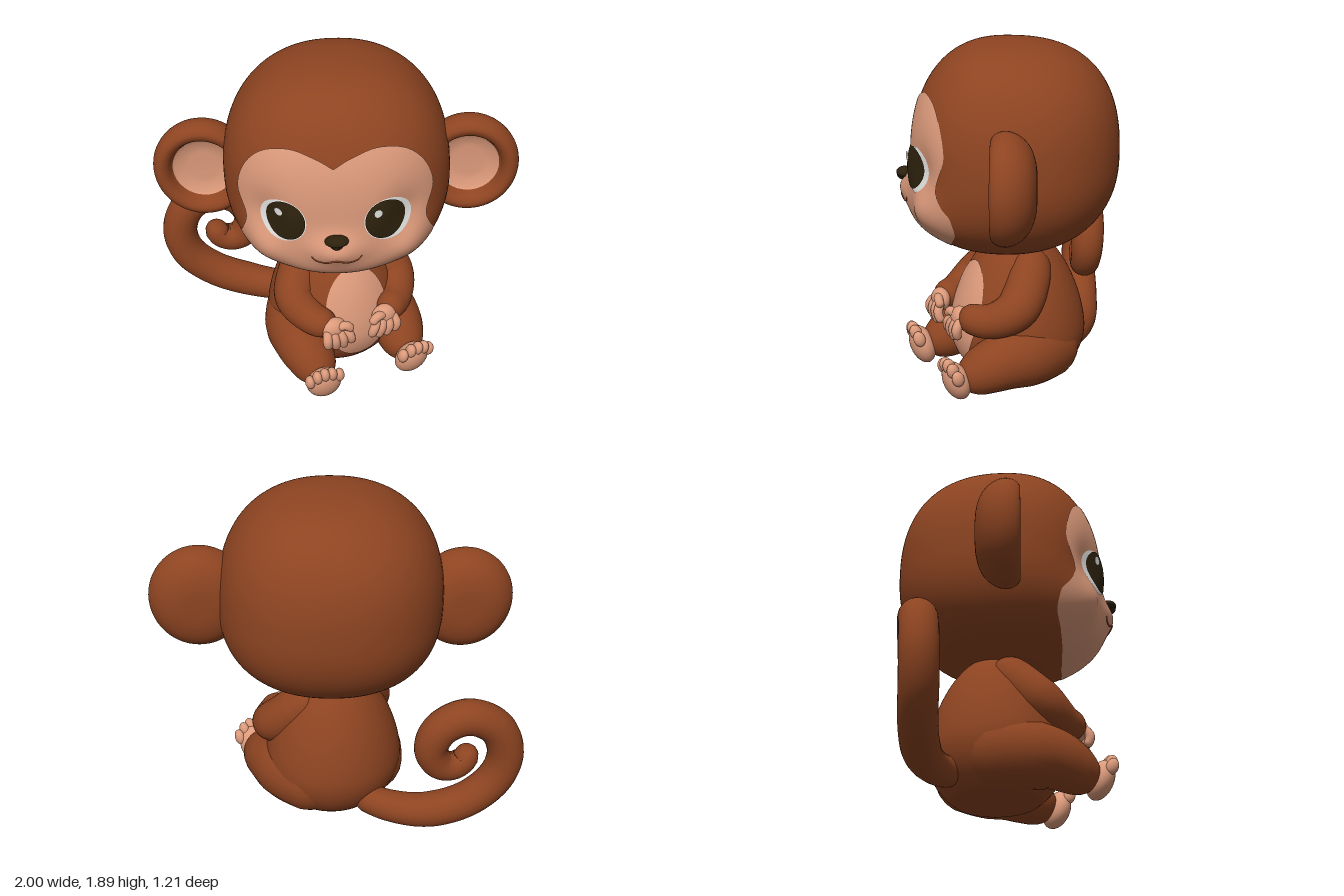
import * as THREE from 'three';
import { mergeVertices } from 'three/addons/utils/BufferGeometryUtils.js';

const mat = (name, color) => new THREE.MeshStandardMaterial({ name, color });
const V = (x, y, z) => new THREE.Vector3(x, y, z);

// Head surface: a rounded superellipsoid with a muzzle, full cheeks and chin, and shallow eye sockets
const HEAD = { a: 0.605, top: 0.645, bottom: 0.505, front: 0.512, back: 0.605, p: 2.22, q: 2.4 };
const gauss = (x, y, sx, sy) => Math.exp(-((x / sx) ** 2) - (y / sy) ** 2);
const bump = (x, y, z) => THREE.MathUtils.smoothstep(z, 0, 0.2) * (
  0.065 * gauss(x, y + 0.17, 0.15, 0.09) + 0.07 * gauss(x, y + 0.34, 0.42, 0.13) +
  0.055 * gauss(Math.abs(x) - 0.39, y + 0.22, 0.12, 0.12) - 0.035 * gauss(Math.abs(x) - 0.36, y, 0.1, 0.13));
function faceZ(x, y) {
  const b = y > 0 ? HEAD.top : HEAD.bottom;
  const v = Math.max(0, 1 - Math.abs(y / b) ** HEAD.q) ** (HEAD.p / HEAD.q) - Math.abs(x / HEAD.a) ** HEAD.p;
  const z = HEAD.front * Math.max(0, v) ** (1 / HEAD.p);
  return z + bump(x, y, z);
}
function headGeometry() {
  const g = new THREE.SphereGeometry(1, 96, 72);
  const pos = g.attributes.position;
  for (let i = 0; i < pos.count; i++) {
    const d = V(0, 0, 0).fromBufferAttribute(pos, i);
    const b = d.y > 0 ? HEAD.top : HEAD.bottom, c = d.z > 0 ? HEAD.front : HEAD.back;
    const round = Math.abs(d.x / HEAD.a) ** HEAD.p + Math.abs(d.z / c) ** HEAD.p;
    d.multiplyScalar((round ** (HEAD.q / HEAD.p) + Math.abs(d.y / b) ** HEAD.q) ** (-1 / HEAD.q));
    if (d.z > 0) d.z += bump(d.x, d.y, d.z);
    else d.y += 0.04 * (d.z / HEAD.back) ** 2; // the back of the head sits a little higher
    pos.setXYZ(i, d.x, d.y, d.z);
  }
  return smooth(g);
}
function smooth(g) {
  g.deleteAttribute('uv');
  g.deleteAttribute('normal');
  const m = mergeVertices(g, 1e-5);
  m.computeVertexNormals();
  return m;
}

// Body radius at each height; the body is slightly wider than deep
const WIDE = 1.04;
function bodyR(y) {
  const u = y > 0.27 ? ((y - 0.27) / 0.559) ** 1.55 : ((0.27 - y) / 0.34) ** 2;
  return 0.37 * Math.sqrt(Math.max(0, 1 - u));
}
const bellyZ = (x, y) => Math.sqrt(Math.max(0, bodyR(y) ** 2 - (x / WIDE) ** 2));

// Thin coloured skin laid on a surface z(x, y), bounded by a counterclockwise outline
function patch(outline, cx, cy, zAt, lift, dome = 0, rings = 24) {
  const pos = [], idx = [], n = outline.length;
  for (let i = 0; i <= rings; i++) {
    const s = i / rings;
    for (const o of outline) {
      const x = cx + (o.x - cx) * s, y = cy + (o.y - cy) * s;
      pos.push(x, y, zAt(x, y) + lift + dome * (1 - s * s));
    }
  }
  for (let i = 0; i < rings; i++) for (let j = 0; j < n; j++) {
    const k = (j + 1) % n, a = i * n + j, b = a + n, c = (i + 1) * n + k, d = i * n + k;
    idx.push(a, b, c);
    if (i > 0) idx.push(a, c, d);
  }
  const g = new THREE.BufferGeometry();
  g.setAttribute('position', new THREE.Float32BufferAttribute(pos, 3));
  g.setIndex(idx);
  g.computeVertexNormals();
  return g;
}
function ellipsePatch(cx, cy, rx, ry, zAt, lift, dome, rings) {
  const outline = new THREE.EllipseCurve(cx, cy, rx, ry).getPoints(64).slice(0, -1);
  return patch(outline, cx, cy, zAt, lift, dome, rings);
}

// Round-ended tube whose radius varies along its path
function limb(points, radii, n = 40, k = 24) {
  const curve = new THREE.CatmullRomCurve3(points), length = curve.getLength();
  const g = new THREE.TubeGeometry(curve, n, 1, k);
  const pos = g.attributes.position;
  for (let i = 0; i <= n; i++) {
    const t = i / n, c = curve.getPointAt(t), f = t * (radii.length - 1);
    const m = Math.min(Math.floor(f), radii.length - 2);
    let r = THREE.MathUtils.lerp(radii[m], radii[m + 1], f - m);
    const d = Math.min(t, 1 - t) * length;
    if (d < r) r *= Math.sqrt(1 - (1 - d / r) ** 2);
    for (let j = 0; j <= k; j++) {
      const v = V(0, 0, 0).fromBufferAttribute(pos, i * (k + 1) + j).sub(c).multiplyScalar(r).add(c);
      pos.setXYZ(i * (k + 1) + j, v.x, v.y, v.z);
    }
  }
  return smooth(g);
}

export function createModel() {
  const fur = mat('brown fur', 0x8d4421), skin = mat('peach skin', 0xdc9a7b);
  const dark = mat('dark brown', 0x2d210d), white = mat('eye white', 0xe6e6e4);
  const lip = mat('mouth line', 0x9a4c2c);
  const model = new THREE.Group();
  model.name = 'monkey';
  const add = (parent, name, geometry, material) => {
    const m = new THREE.Mesh(geometry, material);
    m.name = name;
    parent.add(m);
    return m;
  };
  const ball = (parent, name, material, p, s) => {
    const m = add(parent, name, new THREE.SphereGeometry(1, 28, 20), material);
    m.position.set(...p);
    m.scale.set(...s);
  };

  // Head, tilted a little
  const head = new THREE.Group();
  head.name = 'head';
  head.position.set(0.03, 1.24, 0);
  head.rotation.z = 0.036;
  model.add(head);
  add(head, 'skull', headGeometry(), fur);

  // Heart-shaped face
  const half = new THREE.SplineCurve([[0, 0.305], [0.09, 0.355], [0.22, 0.39], [0.36, 0.355], [0.46, 0.25],
    [0.505, 0.1], [0.468, -0.05], [0.492, -0.15], [0.508, -0.22], [0.46, -0.32], [0.335, -0.4], [0.17, -0.45], [0, -0.465]]
    .map(p => new THREE.Vector2(...p))).getPoints(72);
  const left = half.slice(1, -1).map(p => new THREE.Vector2(-p.x, p.y));
  add(head, 'face', patch([...left, ...half.slice().reverse()], 0, 0, faceZ, 0.009, 0, 40), skin);

  // Eyes
  for (const s of [-1, 1]) {
    const x = s * 0.255;
    add(head, 'eyeWhite', ellipsePatch(s * 0.268, -0.008, 0.12, 0.122, faceZ, 0.012, 0.012), white);
    add(head, 'iris', ellipsePatch(x, 0, 0.102, 0.114, faceZ, 0.022, 0.018), dark);
    add(head, 'eyeGlint', ellipsePatch(x - 0.035, 0.055, 0.021, 0.024, faceZ, 0.041, 0, 4), white);
  }

  // Nose: a wide top tapering to a small tip below
  ball(head, 'nose', dark, [0.005, -0.088, 0.557], [0.062, 0.028, 0.045]);
  ball(head, 'noseTip', dark, [0.005, -0.105, 0.562], [0.034, 0.027, 0.036]);

  // Mouth
  const mouth = [[-0.13, -0.198], [-0.11, -0.222], [-0.06, -0.23], [0, -0.208], [0.06, -0.23], [0.11, -0.222], [0.135, -0.195]]
    .map(([x, y]) => V(x, y, faceZ(x, y) + 0.009));
  add(head, 'mouth', limb(mouth, [0.004, 0.006, 0.004], 40, 8), lip);

  // Ears: rounded cups with a bare inside
  const lathe = pts => new THREE.LatheGeometry(
    new THREE.SplineCurve(pts.map(p => new THREE.Vector2(...p))).getPoints(40), 56);
  for (const s of [-1, 1]) {
    const ear = new THREE.Group();
    ear.name = s < 0 ? 'rightEar' : 'leftEar';
    ear.position.set(s < 0 ? -0.718 : 0.704, 0.004, 0);
    ear.rotation.x = Math.PI / 2;
    ear.scale.set(0.27, 1, 0.29);
    head.add(ear);
    add(ear, 'earShell', lathe([[0, -0.165], [0.4, -0.16], [0.72, -0.13], [0.92, -0.075], [1, -0.01],
      [0.95, 0.045], [0.83, 0.07], [0.7, 0.055], [0.62, 0.015], [0.55, -0.02]]), fur);
    add(ear, 'innerEar', lathe([[0.665, 0.036], [0.6, 0.008], [0.4, -0.012], [0.2, -0.016], [0, -0.017]]), skin);
  }

  // Body, turned towards its left
  const body = new THREE.Group();
  body.name = 'body';
  body.position.set(0.02, 0, -0.06);
  body.rotation.y = 0.42;
  model.add(body);
  const profile = [new THREE.Vector2(0, 0)];
  for (let i = 0; i <= 40; i++) profile.push(new THREE.Vector2(bodyR(i * 0.02), i * 0.02));
  add(body, 'torso', new THREE.LatheGeometry(profile, 72), fur).scale.x = WIDE;
  add(body, 'belly', ellipsePatch(0, 0.395, 0.185, 0.275, bellyZ, 0.009), skin);

  for (const s of [-1, 1]) {
    // Arms and hands
    const hx = s < 0 ? 0.175 : 0.13;
    add(body, 'arm', limb([V(s * 0.1, 0.73, -0.03), V(s * 0.2, 0.62, 0.02), V(s * 0.3, 0.475, 0.14),
      V(s * 0.25, 0.41, 0.28), V(s * hx, 0.425, 0.4)], [0.1, 0.12, 0.118, 0.095, 0.075]), fur);
    ball(body, 'palm', skin, [s * hx, 0.405, 0.395], [0.074, 0.065, 0.05]);
    for (let i = 0; i < 4; i++) {
      const u = i - 1.5, x = hx - 0.012 + u * 0.045;
      add(body, 'finger', limb([V(s * (hx + u * 0.025), 0.42, 0.4), V(s * x, 0.36, 0.44),
        V(s * (x - 0.014), 0.275 + 0.018 * Math.abs(u), 0.425)], [0.024, 0.027, 0.024], 14, 12), skin);
    }
    add(body, 'thumb', limb([V(s * hx, 0.42, 0.41), V(s * (hx - 0.06), 0.43, 0.43), V(s * (hx - 0.095), 0.39, 0.43)],
      [0.024, 0.026, 0.024], 14, 12), skin);

    // Legs and feet
    add(body, 'leg', limb([V(s * 0.06, 0.2, -0.22), V(s * 0.24, 0.195, 0.02), V(s * 0.28, 0.18, 0.2),
      V(s * 0.27, 0.13, 0.37), V(s * 0.266, 0.115, 0.465)], [0.2, 0.2, 0.18, 0.145, 0.1]), fur);
    const foot = new THREE.Group();
    foot.name = 'foot';
    foot.position.set(s * 0.255, 0, 0.44);
    foot.rotation.set(0.33, s * 0.08, s * -0.12);
    body.add(foot);
    ball(foot, 'sole', skin, [0, 0.115, 0], [0.098, 0.113, 0.068]);
    for (let i = -2; i <= 2; i++) {
      ball(foot, 'toe', skin, [i * 0.042, 0.22 - 0.01 * i * i, 0.014], [0.028, 0.046, 0.034]);
    }
  }

  // Curled tail
  const tail = [[-0.1, 0.12, -0.28], [-0.28, 0.095, -0.37], [-0.48, 0.098, -0.42], [-0.7, 0.17, -0.43],
    [-0.855, 0.31, -0.42], [-0.9, 0.48, -0.42], [-0.835, 0.65, -0.43], [-0.68, 0.73, -0.45], [-0.54, 0.67, -0.46],
    [-0.487, 0.54, -0.46], [-0.54, 0.43, -0.45], [-0.62, 0.41, -0.44], [-0.68, 0.455, -0.43], [-0.67, 0.53, -0.43]];
  add(model, 'tail', limb(tail.map(p => V(...p)), [0.08, 0.09, 0.1, 0.1, 0.1, 0.1, 0.1, 0.097, 0.085, 0.065], 110, 24), fur);
  return model;
}
